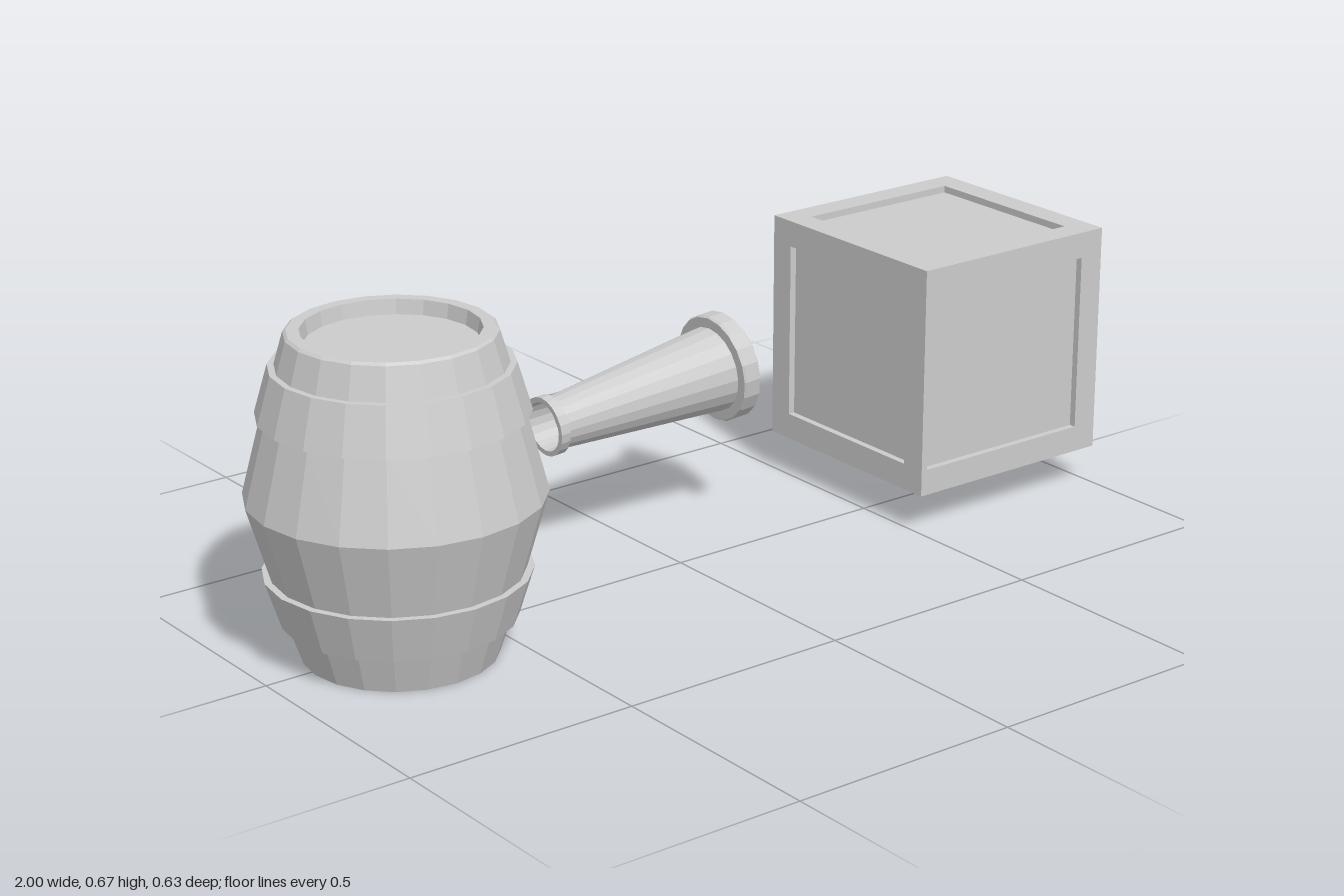
import * as THREE from 'three';

const SIDES = 20;
const material = new THREE.MeshStandardMaterial({ color: 0xcccccc, flatShading: true });

function addMesh(parent, name, geometry) {
  const mesh = new THREE.Mesh(geometry, material);
  mesh.name = name;
  parent.add(mesh);
  return mesh;
}

// Turned part from [radius, height] pairs, running bottom to top on the outside
function turned(parent, name, profile) {
  const points = profile.map(([r, y]) => new THREE.Vector2(r, y));
  return addMesh(parent, name, new THREE.LatheGeometry(points, SIDES));
}

function createBarrel() {
  const barrel = new THREE.Group();
  barrel.name = 'barrel';

  // Staves with a raised rim around a sunken lid
  turned(barrel, 'barrelBody', [
    [0, 0], [0.195, 0], [0.222, 0.08], [0.251, 0.18], [0.296, 0.335],
    [0.253, 0.5], [0.225, 0.597], [0.206, 0.662], [0.2, 0.667],
    [0.175, 0.667], [0.17, 0.637], [0, 0.637],
  ]);

  // Conical hoops, slightly proud of the staves
  turned(barrel, 'lowerHoop', [[0.215, 0.08], [0.234, 0.08], [0.265, 0.178], [0.245, 0.178]]);
  turned(barrel, 'upperHoop', [[0.245, 0.5], [0.266, 0.5], [0.238, 0.597], [0.218, 0.597]]);

  barrel.position.set(-0.704, 0, 0.018);
  return barrel;
}

function createSpyglass() {
  const spyglass = new THREE.Group();
  spyglass.name = 'spyglass';

  // Eyepiece with a hollow end
  turned(spyglass, 'eyepiece', [
    [0, 0.06], [0.05, 0.06], [0.053, 0], [0.064, 0], [0.064, 0.022], [0.05, 0.022],
  ]);
  turned(spyglass, 'tube', [[0.055, 0.022], [0.092, 0.437]]);

  // Wide front ring and pointed lens
  turned(spyglass, 'frontRing', [
    [0.088, 0.437], [0.114, 0.437], [0.117, 0.442], [0.117, 0.476], [0.112, 0.48], [0.1, 0.482],
  ]);
  turned(spyglass, 'lens', [[0.104, 0.481], [0.06, 0.497], [0, 0.512]]);

  spyglass.position.set(-0.22, 0.3, -0.174);
  spyglass.rotation.z = -Math.PI / 2 + 0.075;
  return spyglass;
}

// Mitred square frame around a sunken panel, facing +z
function frameGeometry(half, border, leftBorder, depth) {
  const shape = new THREE.Shape([
    new THREE.Vector2(-half, -half), new THREE.Vector2(half, -half),
    new THREE.Vector2(half, half), new THREE.Vector2(-half, half),
  ]);
  const inner = half - border;
  const left = -half + leftBorder;
  shape.holes.push(new THREE.Path([
    new THREE.Vector2(left, -inner), new THREE.Vector2(left, inner),
    new THREE.Vector2(inner, inner), new THREE.Vector2(inner, -inner),
  ]));
  const geometry = new THREE.ExtrudeGeometry(shape, { depth, bevelEnabled: false });

  // Pull the back outline inwards so that neighbouring frames meet at a mitre
  const pos = geometry.attributes.position;
  const mitre = (v) => (Math.abs(v) > half - 1e-4 ? Math.sign(v) * (half - depth) : v);
  for (let i = 0; i < pos.count; i++) {
    if (pos.getZ(i) < 1e-4) pos.setXY(i, mitre(pos.getX(i)), mitre(pos.getY(i)));
  }
  geometry.translate(0, 0, half - depth);
  geometry.computeVertexNormals();
  return geometry;
}

function createCrate() {
  const crate = new THREE.Group();
  crate.name = 'crate';
  const half = 0.25, border = 0.057, depth = 0.015;
  const core = 2 * (half - depth);
  addMesh(crate, 'panels', new THREE.BoxGeometry(core, core, core));

  // One frame per face; the front one has a narrow left border
  const faces = [
    ['frontFrame', 0, 0], ['backFrame', 0, Math.PI],
    ['leftFrame', 0, Math.PI / 2], ['rightFrame', 0, -Math.PI / 2],
    ['topFrame', -Math.PI / 2, 0], ['bottomFrame', Math.PI / 2, 0],
  ];
  for (const [name, rx, ry] of faces) {
    const leftBorder = name === 'frontFrame' ? depth : border;
    addMesh(crate, name, frameGeometry(half, border, leftBorder, depth)).rotation.set(rx, ry, 0);
  }

  crate.position.set(0.75, 0.335, -0.066);
  return crate;
}

export function createModel() {
  const model = new THREE.Group();
  model.name = 'barrelSpyglassAndCrate';
  model.add(createBarrel(), createSpyglass(), createCrate());
  return model;
}
